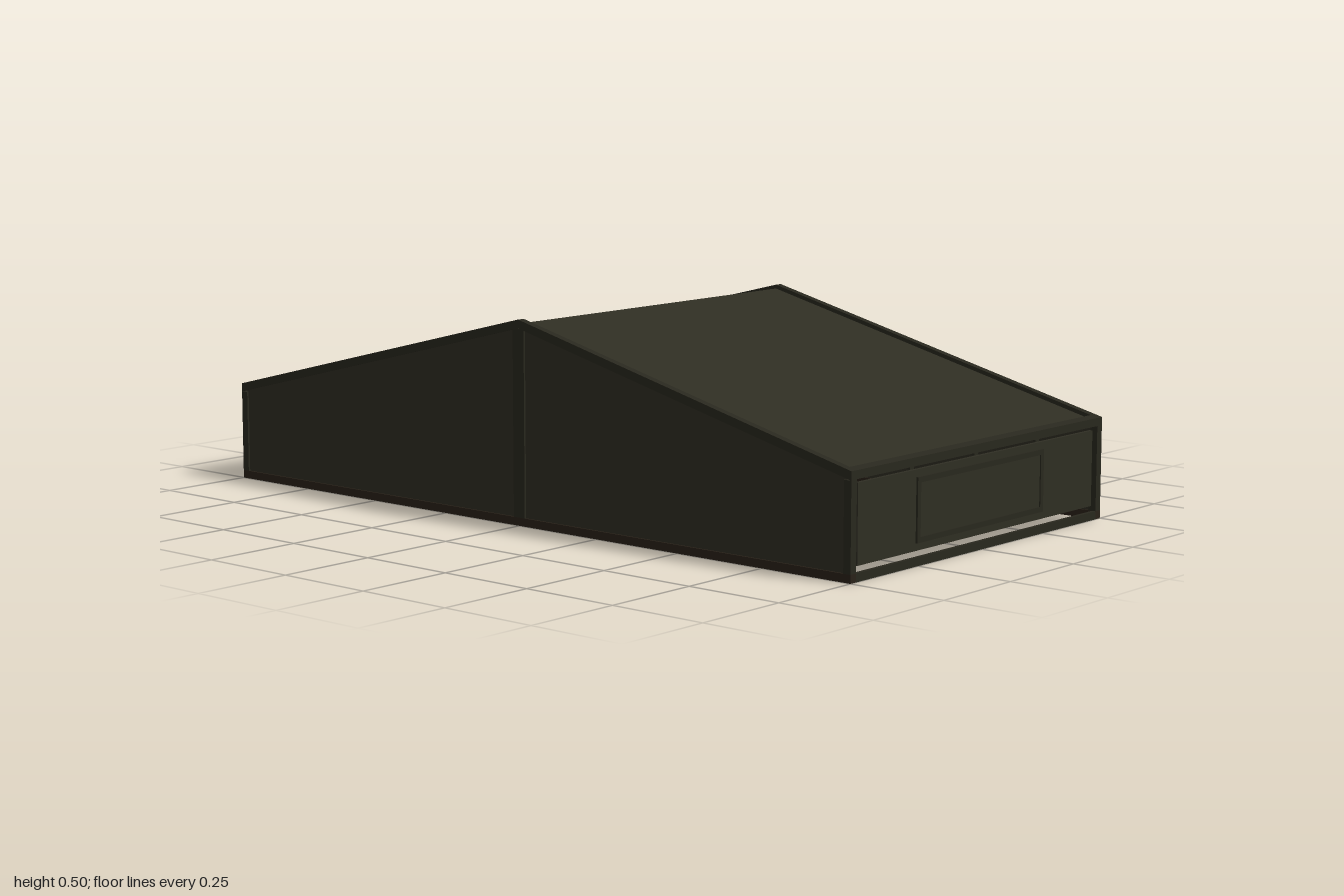
import * as THREE from 'three';

export function createModel() {
  const model = new THREE.Group();
  const mat = (name, color) => {
    const m = new THREE.MeshStandardMaterial({ color });
    m.name = name;
    return m;
  };
  const panel = mat('dark olive panel', 0x2f2e23);
  const frame = mat('darker olive frame', 0x29281e);
  const base = mat('dark brown base', 0x2a2219);

  const add = (name, geometry, material) => {
    const mesh = new THREE.Mesh(geometry, material);
    mesh.name = name;
    model.add(mesh);
    return mesh;
  };
  // Box given by its limits on each axis
  const box = (name, material, x0, x1, y0, y1, z0, z1) => {
    const g = new THREE.BoxGeometry(Math.abs(x1 - x0), y1 - y0, Math.abs(z1 - z0));
    g.translate((x0 + x1) / 2, (y0 + y1) / 2, (z0 + z1) / 2);
    return add(name, g, material);
  };
  // Outline in the x-y plane, extruded from z0 to z1
  const prism = (name, material, points, z0, z1) => {
    const shape = new THREE.Shape(points.map(p => new THREE.Vector2(...p)));
    const g = new THREE.ExtrudeGeometry(shape, { depth: z1 - z0, bevelEnabled: false });
    g.translate(0, 0, z0);
    return add(name, g, material);
  };
  const roofY = x => 0.5 - 0.25 * Math.abs(x);
  // Sloping member between two depths below the roof line
  const sloped = (name, material, s, x0, x1, top, bottom, z0, z1) =>
    prism(name, material, [
      [s * x0, roofY(x0) - top], [s * x1, roofY(x1) - top],
      [s * x1, roofY(x1) - bottom], [s * x0, roofY(x0) - bottom],
    ], z0, z1);

  // Gable walls with their frames
  for (const s of [-1, 1]) {
    const zs = (a, b) => (s > 0 ? [a, b] : [-b, -a]);
    const outer = zs(0.48, 0.5);
    prism('gableWall', panel, [
      [-0.985, 0.01], [0.985, 0.01], [0.985, roofY(0.985) - 0.01],
      [0, 0.49], [-0.985, roofY(0.985) - 0.01],
    ], ...zs(0.485, 0.495));
    box('gableBaseRail', base, -1, 1, 0, 0.02, ...outer);
    box('gableCentrePost', frame, -0.018, 0.018, 0.02, 0.478, ...outer);
    box('ridgePost', frame, -0.02, 0.02, 0.04, 0.44, ...zs(0.45, 0.472));
    for (const t of [-1, 1]) {
      sloped('gableTrim', frame, t, 0, 1, 0, 0.021, ...outer);
      box('cornerPost', frame, t * 0.98, t, 0.02, 0.229, ...outer);
    }
  }

  // Each half of the roof, and the end below its eave
  for (const s of [-1, 1]) {
    sloped('roofPanel', panel, s, 0, 0.985, 0.01, 0.02, -0.48, 0.48);
    prism('eaveRail', frame, [
      [s * 0.98, 0.23], [s, 0.23], [s, 0.25], [s * 0.98, 0.255],
    ], -0.48, 0.48);
    box('endBaseRail', frame, s * 0.99, s, 0, 0.02, -0.48, 0.48);

    // Hanging end panel with a framed inset
    box('endPanel', panel, s * 0.985, s * 0.994, 0.034, 0.22, -0.468, 0.468);
    box('insetPanel', panel, s * 0.993, s * 0.996, 0.064, 0.19, -0.24, 0.24);
    for (const y of [0.052, 0.19])
      box('insetFrameRail', frame, s * 0.993, s * 0.999, y, y + 0.013, -0.252, 0.252);
    for (const z of [-0.246, 0.246])
      box('insetFrameSide', frame, s * 0.993, s * 0.999, 0.065, 0.19, z - 0.006, z + 0.006);

    // Rafters and purlins below the roof
    for (const z of [-0.25, 0, 0.25])
      sloped('rafter', frame, s, 0.01, 0.98, 0.019, 0.037, z - 0.007, z + 0.007);
    for (const x of [0.33, 0.66])
      sloped('purlin', frame, s, x - 0.01, x + 0.01, 0.019, 0.032, -0.47, 0.47);
  }

  // Beams across the middle, at the floor and the ridge
  box('floorBeam', frame, -0.02, 0.02, 0.002, 0.042, -0.472, 0.472);
  box('ridgeBeam', frame, -0.02, 0.02, 0.435, 0.475, -0.472, 0.472);

  return model;
}
